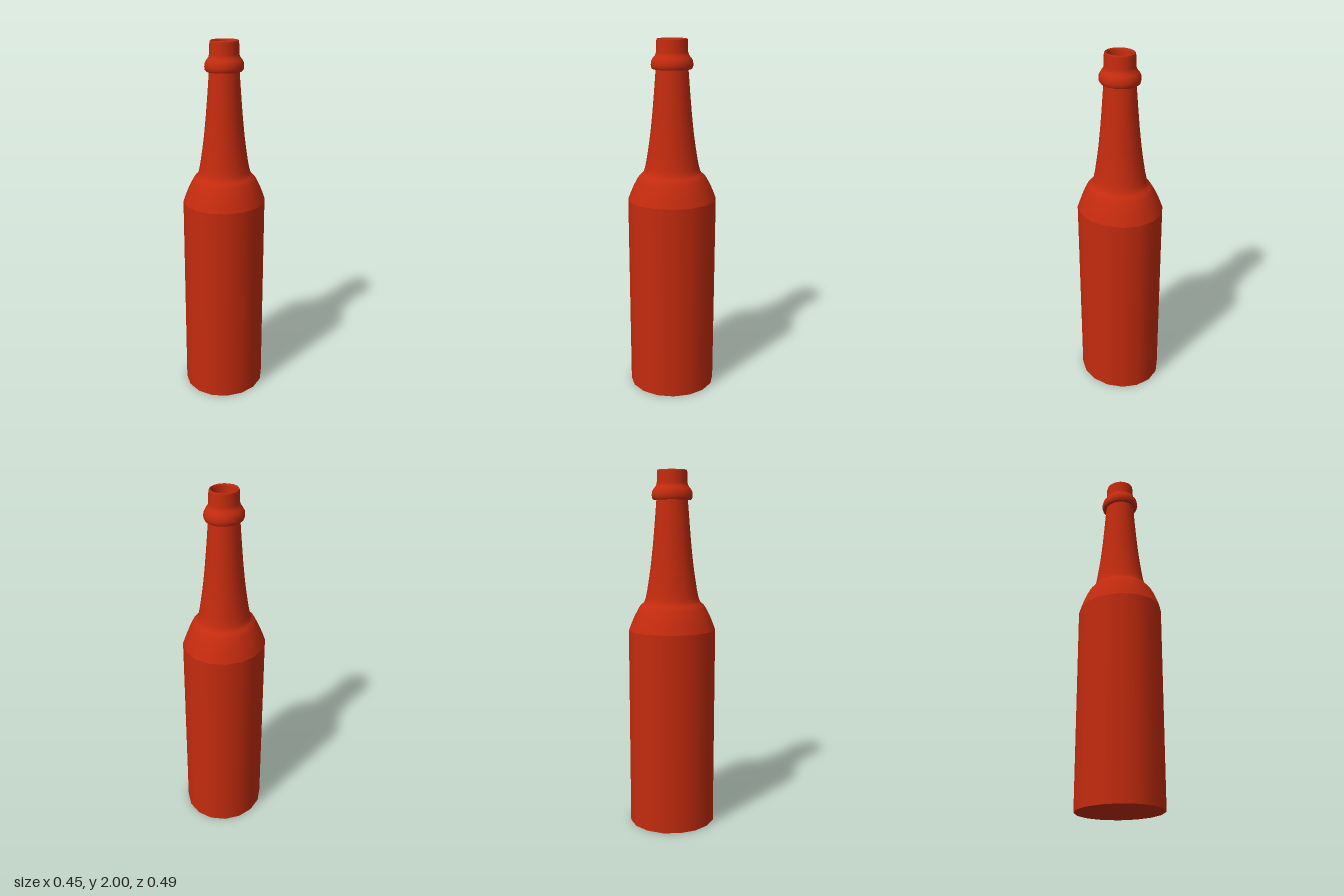
import * as THREE from 'three';

const SIDES = 16;
const material = new THREE.MeshStandardMaterial({ color: 0xc42b0e, roughness: 0.6, side: THREE.DoubleSide });

// Turns a profile of [radius, height] points, listed from bottom to top
function turned(name, profile) {
  const points = profile.map(([r, y]) => new THREE.Vector2(r, y));
  const geometry = new THREE.LatheGeometry(points, SIDES);
  geometry.scale(1, 1, 1.088); // slightly oval section
  const mesh = new THREE.Mesh(geometry, material);
  mesh.name = name;
  return mesh;
}

export function createModel() {
  const bottle = new THREE.Group();
  bottle.name = 'bottle';

  bottle.add(
    turned('base', [[0, 0], [0.226, 0]]),
    turned('body', [[0.226, 0], [0.226, 1.13]]),
    // Shoulder rounds over, then sweeps up into the tapering neck
    turned('shoulderAndNeck', [
      [0.226, 1.13], [0.212, 1.17], [0.196, 1.21], [0.176, 1.25], [0.164, 1.268], [0.152, 1.277],
      [0.144, 1.29], [0.138, 1.31], [0.13, 1.35], [0.118, 1.43], [0.109, 1.5],
      [0.099, 1.6], [0.09, 1.71], [0.08, 1.845],
    ]),
    turned('collarUnderside', [[0.078, 1.845], [0.096, 1.842]]),
    // Collar bead and the mouth above it
    turned('collarAndMouth', [
      [0.096, 1.842], [0.102, 1.85], [0.104, 1.865], [0.102, 1.885], [0.094, 1.9],
      [0.083, 1.914], [0.078, 1.93], [0.077, 1.985], [0.075, 1.997],
    ]),
    // Rim folds over and runs down inside the opening
    turned('rim', [[0.075, 1.997], [0.072, 2], [0.068, 1.997], [0.066, 1.985], [0.063, 1.92], [0.063, 1.85]]),
  );
  return bottle;
}
